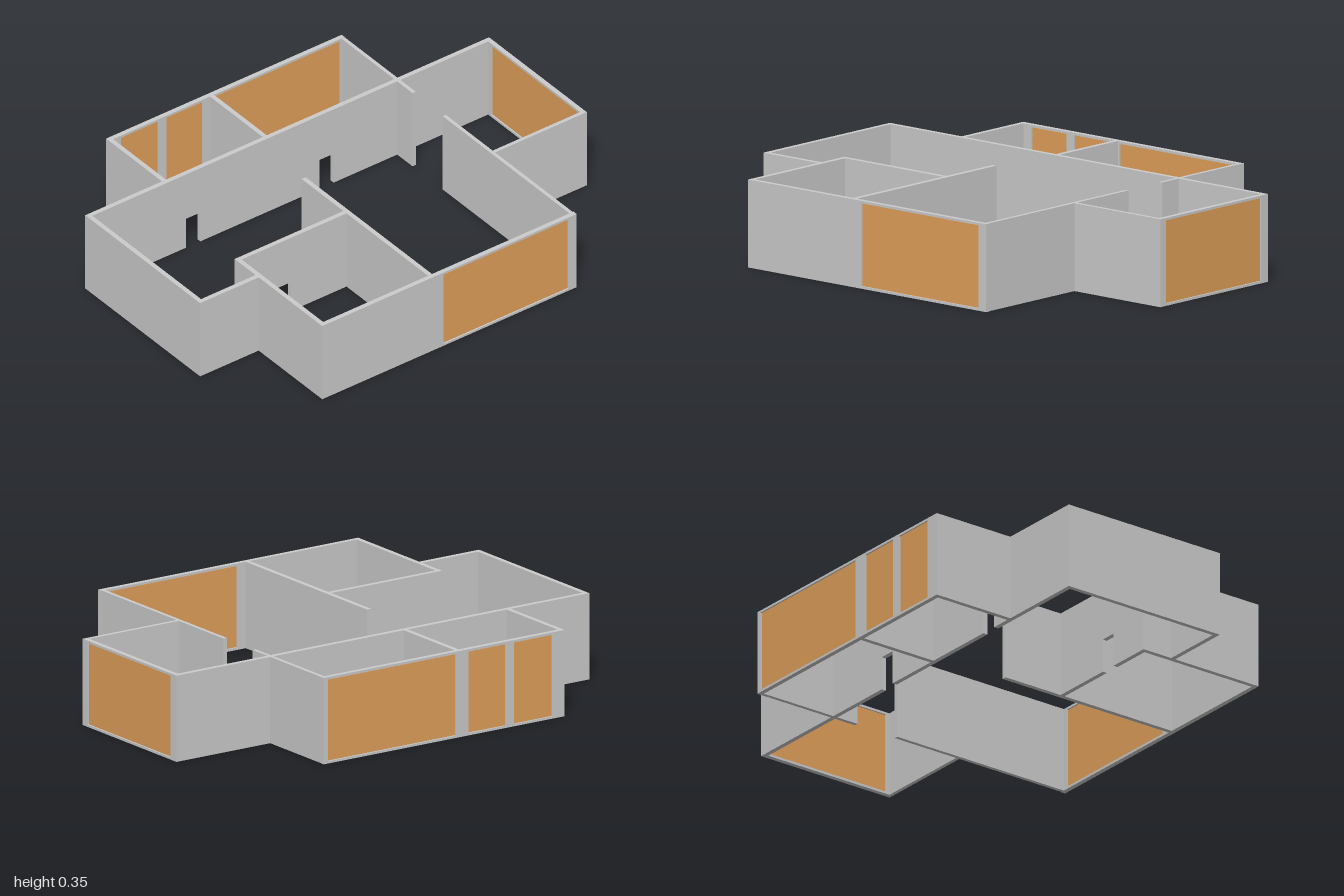
import * as THREE from 'three';

const HEIGHT = 0.355;
const T = 0.02; // wall thickness
const wallMat = new THREE.MeshStandardMaterial({ color: 0xcccccc });
const glassMat = new THREE.MeshStandardMaterial({ color: 0xe0a05a });

// Wall from a to b along one axis, centred on `at` of the other axis.
// doors and windows are [from, to] ranges along the wall.
function wall(name, axis, at, a, b, { doors = [], windows = [], t = T } = {}) {
  const group = new THREE.Group();
  group.name = name;

  // Outline with door notches cut up from the floor
  const shape = new THREE.Shape();
  shape.moveTo(a, 0);
  for (const [d0, d1] of doors) {
    shape.lineTo(d0, 0);
    shape.lineTo(d0, 0.14);
    shape.lineTo(d1, 0.14);
    shape.lineTo(d1, 0);
  }
  shape.lineTo(b, 0);
  shape.lineTo(b, HEIGHT);
  shape.lineTo(a, HEIGHT);
  shape.closePath();

  // Window openings with a recessed pane
  const y0 = 0.01, y1 = 0.345;
  for (const [w0, w1] of windows) {
    const hole = new THREE.Path();
    hole.moveTo(w0, y0);
    hole.lineTo(w0, y1);
    hole.lineTo(w1, y1);
    hole.lineTo(w1, y0);
    hole.closePath();
    shape.holes.push(hole);
    const pane = new THREE.Mesh(new THREE.BoxGeometry(w1 - w0, y1 - y0, 0.008), glassMat);
    pane.position.set((w0 + w1) / 2, (y0 + y1) / 2, 0);
    pane.name = 'windowPane';
    group.add(pane);
  }

  const geo = new THREE.ExtrudeGeometry(shape, { depth: t, bevelEnabled: false });
  geo.translate(0, 0, -t / 2);
  const mesh = new THREE.Mesh(geo, wallMat);
  mesh.name = name + 'Panel';
  group.add(mesh);

  if (axis === 'z') {
    group.rotation.y = -Math.PI / 2; // local x runs along +z
    group.position.x = at;
  } else {
    group.position.z = at;
  }
  return group;
}

export function createModel() {
  const model = new THREE.Group();
  model.name = 'floorPlan';

  model.add(
    // Back rooms
    wall('backWall', 'x', -0.755, -0.62, 0.547, {
      windows: [[-0.56, -0.375], [-0.335, -0.155], [-0.093, 0.525]],
    }),
    wall('backRoomRightWall', 'z', -0.61, -0.75, -0.39),
    wall('backRoomDivider', 'z', -0.111, -0.75, -0.39),
    wall('backRoomLeftWall', 'z', 0.538, -0.75, -0.28, { t: 0.016 }),

    // Long wall across the whole house
    wall('middleWall', 'x', -0.39, -1, 1, {
      doors: [[-0.515, -0.445], [0.145, 0.215]],
    }),

    // Side wings
    wall('rightWingSideWall', 'z', -0.99, -0.39, 0.35),
    wall('rightWingFrontWall', 'x', 0.34, -1, -0.7),
    wall('leftWingSideWall', 'z', 0.99, -0.39, 0.235, { windows: [[-0.36, 0.205]] }),
    wall('leftWingFrontWall', 'x', 0.23, 0.538, 1, { t: 0.016 }),

    // Front rooms
    wall('frontWall', 'x', 0.755, -0.71, 0.55, { windows: [[-0.11, 0.51]] }),
    wall('frontRoomRightWall', 'z', -0.7, 0.195, 0.755),
    wall('frontRoomBackWall', 'x', 0.203, -0.71, -0.16, { doors: [[-0.515, -0.445]] }),
    wall('frontRoomDivider', 'z', -0.161, -0.08, 0.755),
    wall('frontRoomLeftWall', 'z', 0.538, -0.083, 0.755, { t: 0.016 }),
  );
  return model;
}
